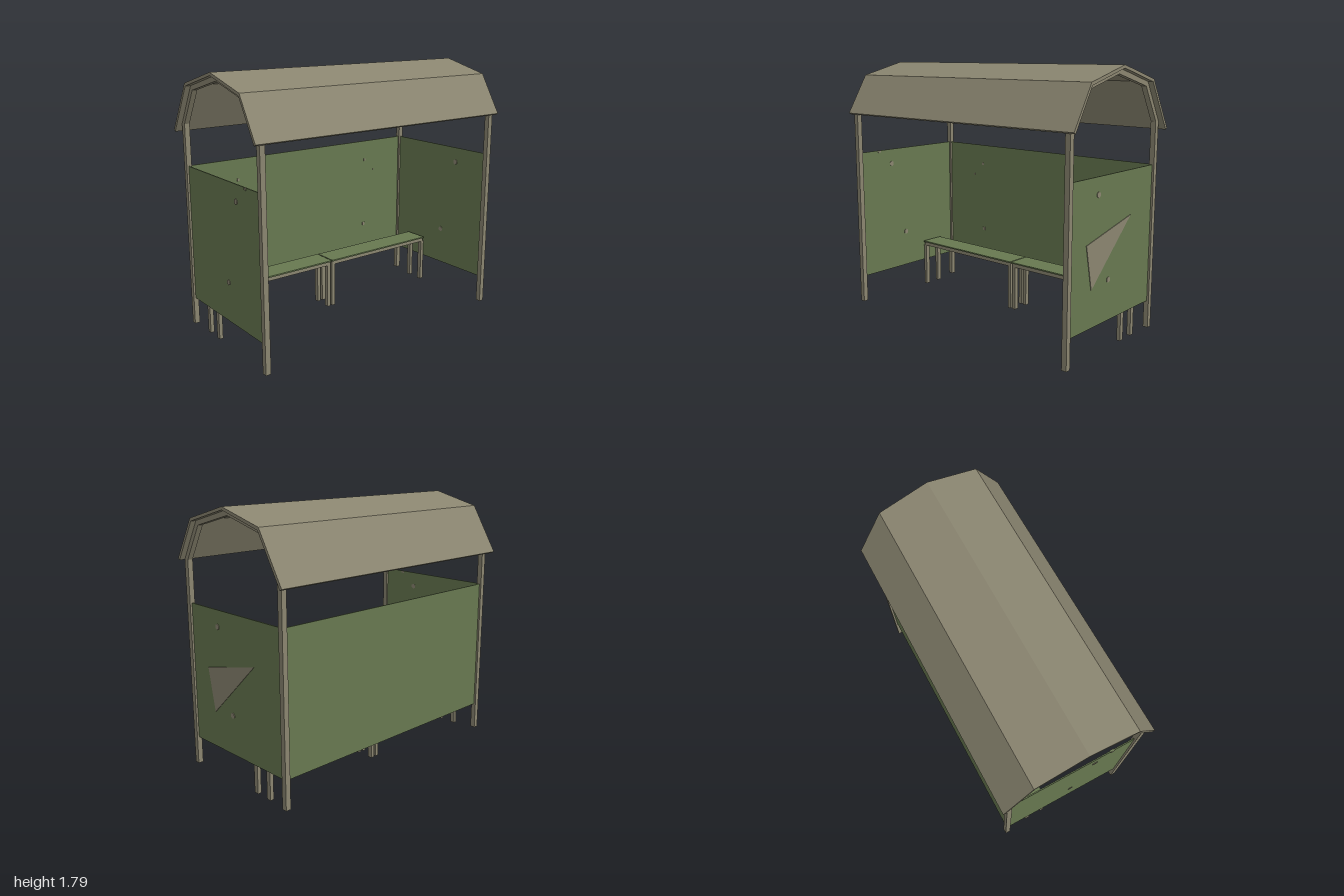
import * as THREE from 'three';

export function createModel() {
  const model = new THREE.Group();
  const metal = new THREE.MeshStandardMaterial({ color: 0x8a8570 });
  metal.name = 'weathered metal';
  const green = new THREE.MeshStandardMaterial({ color: 0x677850 });
  green.name = 'green panel';

  const add = (name, geometry, material, parent = model) => {
    const mesh = new THREE.Mesh(geometry, material);
    mesh.name = name;
    parent.add(mesh);
    return mesh;
  };
  // Box given by its minimum and maximum corners
  const box = (name, material, [x0, y0, z0], [x1, y1, z1], parent) => {
    const mesh = add(name, new THREE.BoxGeometry(x1 - x0, y1 - y0, z1 - z0), material, parent);
    mesh.position.set((x0 + x1) / 2, (y0 + y1) / 2, (z0 + z1) / 2);
    return mesh;
  };
  // Bent strip between an outer and an inner line, extruded along z
  const strip = (name, outer, inner, z0, z1) => {
    const points = [...outer, ...[...inner].reverse()].map(([x, y]) => new THREE.Vector2(x, y));
    const geometry = new THREE.ExtrudeGeometry(new THREE.Shape(points), { depth: z1 - z0, bevelEnabled: false });
    geometry.translate(0, 0, z0);
    return add(name, geometry, metal);
  };

  // Roof sheet, with a longer overhang behind the wall
  strip('roof',
    [[-0.525, 1.38], [-0.333, 1.703], [0.015, 1.795], [0.36, 1.703], [0.522, 1.433]],
    [[-0.508, 1.37], [-0.322, 1.685], [0.015, 1.775], [0.35, 1.685], [0.505, 1.423]], -1, 1);

  // Arches and posts at both ends
  for (const side of [1, -1]) {
    const z = 0.945 * side;
    strip('roofArch',
      [[-0.475, 1.425], [-0.322, 1.685], [0.015, 1.775], [0.35, 1.685], [0.502, 1.425]],
      [[-0.441, 1.425], [-0.302, 1.658], [0.015, 1.74], [0.33, 1.658], [0.467, 1.425]], z - 0.018, z + 0.018);
    for (const x of [-0.458, 0.485])
      box('post', metal, [x - 0.018, 0.01, z - 0.018], [x + 0.018, 1.425, z + 0.018]);

    // End panel with bolts showing on both faces
    box('endPanel', green, [-0.441, 0.2, z - 0.004], [0.467, 1.14, z + 0.004]);
    for (const [x, y] of [[0.185, 1.03], [0.055, 0.47]]) {
      const bolt = add('panelBolt', new THREE.CylinderGeometry(0.02, 0.02, 0.016, 6), metal);
      bolt.rotation.x = Math.PI / 2;
      bolt.position.set(x, y, z);
    }
  }
  box('panelClip', metal, [0.288, 1.125, 0.937], [0.315, 1.139, 0.953]);

  // Triangular mark on the outside of the back end panel
  const triangle = new THREE.Shape([[0.305, 0.737], [-0.185, 0.847], [0.245, 0.446]]
    .map(([x, y]) => new THREE.Vector2(x, y)));
  const mark = add('triangleMark', new THREE.ExtrudeGeometry(triangle, { depth: 0.004, bevelEnabled: false }), metal);
  mark.position.z = -0.953;

  // Long wall with small fixings on the inside
  box('longWall', green, [-0.462, 0.2, -0.93], [-0.454, 1.14, 0.93]);
  for (const side of [1, -1])
    for (const [z, y, r] of [[0.573, 0.99, 0.009], [0.565, 0.46, 0.012], [0.665, 0.9, 0.005]])
      box('wallFixing', metal, [-0.456, y - r, side * z - r], [-0.45, y + r, side * z + r]);

  // Two benches end to end
  for (const side of [1, -1]) {
    const bench = new THREE.Group();
    bench.name = 'bench';
    model.add(bench);
    const span = (a, b) => (side > 0 ? [a, b] : [-b, -a]);
    const [s0, s1] = span(0.004, 0.927);
    box('seat', green, [-0.3, 0.35, s0], [-0.12, 0.36, s1], bench);
    const [r0, r1] = span(0.008, 0.925);
    for (const x of [-0.274, -0.148]) {
      box('seatRail', metal, [x - 0.017, 0.322, r0], [x + 0.017, 0.35, r1], bench);
      for (const near of [0.008, 0.91]) {
        const [z0, z1] = span(near, near + 0.026);
        box('benchLeg', metal, [x - 0.017, 0, z0], [x + 0.017, 0.322, z1], bench);
      }
    }
    for (const near of [0.008, 0.899]) {
      const [z0, z1] = span(near, near + 0.026);
      box('crossRail', metal, [-0.257, 0.322, z0], [-0.165, 0.35, z1], bench);
    }
  }
  return model;
}
